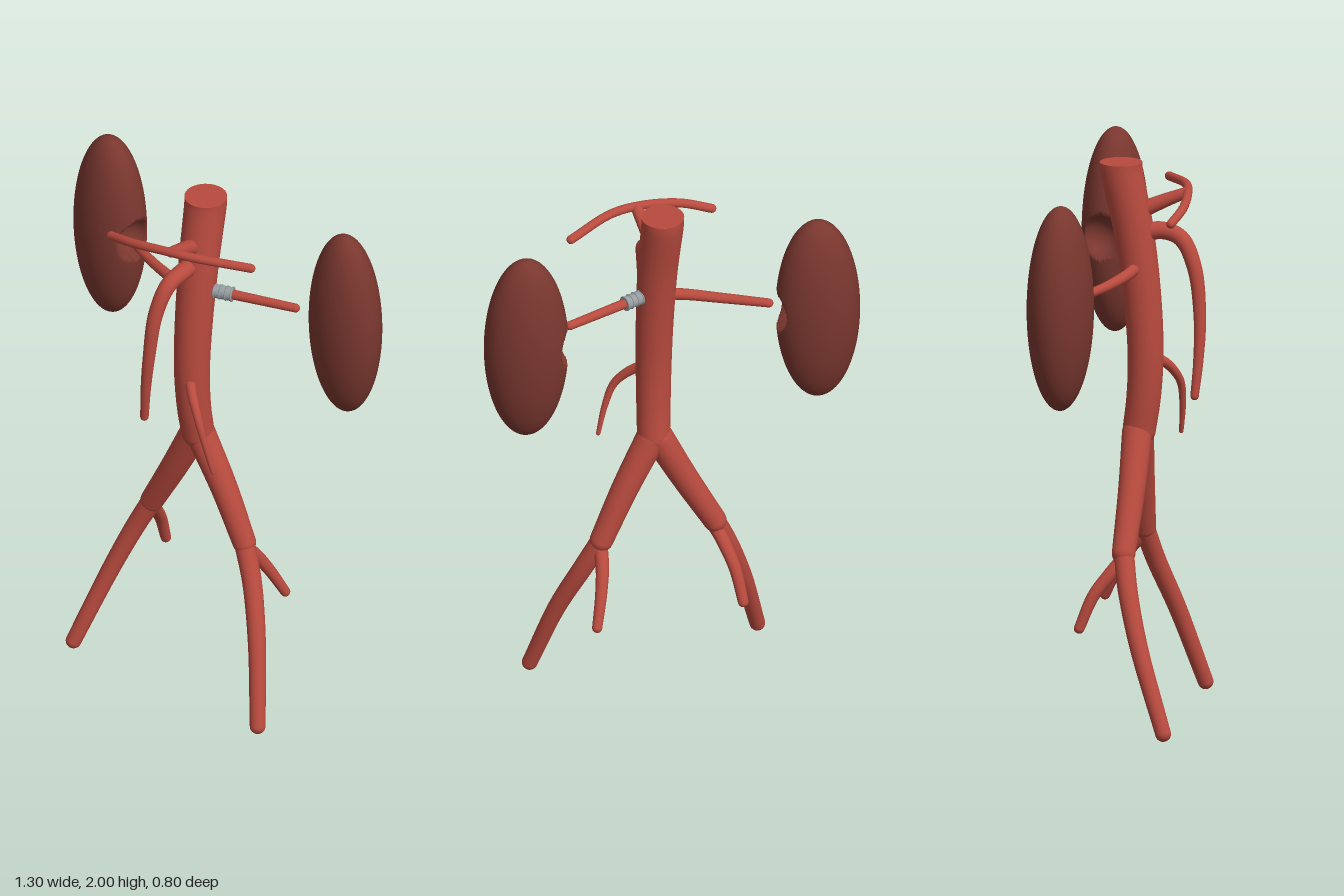
import * as THREE from 'three';
import { mergeGeometries, mergeVertices } from 'three/addons/utils/BufferGeometryUtils.js';

const mat = (name, color) => {
  const m = new THREE.MeshStandardMaterial({ color });
  m.name = name;
  return m;
};

// Smooth tapered tube through points, with round ends
function vessel(points, r0, r1, { roundStart = true, roundEnd = true, segs = 40 } = {}) {
  const curve = new THREE.CatmullRomCurve3(points.map((p) => new THREE.Vector3(...p)), false, 'centripetal');
  const sides = 24;
  const tube = new THREE.TubeGeometry(curve, segs, r0, sides, false);
  const pos = tube.attributes.position;
  const v = new THREE.Vector3();
  for (let i = 0; i <= segs; i++) {
    const t = i / segs;
    const c = curve.getPointAt(t);
    const k = 1 + (r1 / r0 - 1) * t;
    for (let j = 0; j <= sides; j++) {
      const n = i * (sides + 1) + j;
      v.fromBufferAttribute(pos, n).sub(c).multiplyScalar(k).add(c);
      pos.setXYZ(n, v.x, v.y, v.z);
    }
  }
  const parts = [tube];
  const ball = (p, r) => parts.push(new THREE.SphereGeometry(r, 24, 16).translate(...p));
  if (roundStart) ball(points[0], r0);
  if (roundEnd) ball(points[points.length - 1], r1);
  return mergeGeometries(parts);
}

// Flattened ellipsoid with a round hollow scooped out of its +x end
function kidneyGeometry() {
  const geo = new THREE.SphereGeometry(1, 96, 96).rotateZ(-Math.PI / 2).scale(0.15, 0.37, 0.114);
  const pos = geo.attributes.position;
  const cx = 0.145, r = 0.075;
  for (let i = 0; i < pos.count; i++) {
    const d = r * r - pos.getY(i) ** 2 - pos.getZ(i) ** 2;
    if (d > 0 && pos.getX(i) > 0) pos.setX(i, Math.min(pos.getX(i), cx - Math.sqrt(d)));
  }
  geo.deleteAttribute('uv');
  geo.deleteAttribute('normal');
  const smooth = mergeVertices(geo, 1e-5);
  smooth.computeVertexNormals();
  return smooth;
}

export function createModel() {
  const model = new THREE.Group();
  model.name = 'abdominalArteries';
  const red = mat('arteryRed', 0xb84a3e);
  const brown = mat('kidneyBrown', 0x7a372f);
  const grey = mat('stentGrey', 0x979da1);

  const add = (name, geo, material = red) => {
    const m = new THREE.Mesh(geo, material);
    m.name = name;
    model.add(m);
    return m;
  };

  // Main trunk with a flat top
  add('aorta', vessel([
    [-0.045, 2, 0.016], [-0.045, 1.98, 0.016], [-0.055, 1.75, 0.06], [-0.064, 1.5, 0.09],
    [-0.067, 1.3, 0.1], [-0.062, 1.15, 0.094], [-0.052, 1.03, 0.08],
  ], 0.076, 0.059, { roundStart: false, segs: 64 }));
  add('aortaTop', new THREE.CircleGeometry(0.076, 32).rotateX(-Math.PI / 2).translate(-0.045, 2, 0.016));

  // Lower fork: common, outer and inner branches
  add('rightCommonIliac', vessel([[-0.065, 1.02, 0.07], [-0.155, 0.83, 0.035], [-0.255, 0.63, -0.01]], 0.054, 0.042));
  add('leftCommonIliac', vessel([[-0.04, 1.02, 0.08], [0.055, 0.83, 0.105], [0.14, 0.63, 0.13]], 0.054, 0.042));
  add('rightExternalIliac', vessel([
    [-0.255, 0.63, -0.01], [-0.32, 0.5, -0.005], [-0.4, 0.32, 0.02], [-0.515, 0.03, 0.088],
  ], 0.037, 0.028));
  add('leftExternalIliac', vessel([
    [0.14, 0.63, 0.13], [0.187, 0.5, 0.18], [0.235, 0.31, 0.265], [0.276, 0.03, 0.372],
  ], 0.037, 0.028));
  add('rightInternalIliac', vessel([
    [-0.255, 0.61, -0.01], [-0.26, 0.55, -0.065], [-0.262, 0.48, -0.12], [-0.261, 0.365, -0.17],
  ], 0.026, 0.019));
  add('leftInternalIliac', vessel([
    [0.145, 0.61, 0.13], [0.17, 0.55, 0.085], [0.205, 0.47, 0.045], [0.25, 0.365, 0.008],
  ], 0.026, 0.018));

  // Front branches
  add('celiacTrunk', vessel([[-0.055, 1.81, 0.05], [-0.075, 1.855, 0.15], [-0.095, 1.89, 0.235]], 0.033, 0.02));
  add('celiacBranches', vessel([
    [-0.355, 1.84, 0.142], [-0.26, 1.87, 0.2], [-0.13, 1.893, 0.24], [0, 1.9, 0.257], [0.2, 1.885, 0.23],
  ], 0.016, 0.016));
  add('superiorMesentericArtery', vessel([
    [-0.06, 1.74, 0.06], [-0.085, 1.755, 0.16], [-0.115, 1.73, 0.22], [-0.145, 1.63, 0.262],
    [-0.165, 1.45, 0.278], [-0.18, 1.3, 0.27], [-0.19, 1.175, 0.255],
  ], 0.034, 0.015, { segs: 60 }));
  add('inferiorMesentericArtery', vessel([
    [-0.065, 1.29, 0.12], [-0.045, 1.27, 0.17], [0.005, 1.19, 0.235], [0.035, 1.1, 0.25], [0.065, 0.99, 0.25],
  ], 0.02, 0.008));

  // Side branches to the kidneys
  add('rightRenalArtery', vessel([
    [-0.06, 1.63, 0.075], [-0.14, 1.62, 0.035], [-0.26, 1.605, -0.06], [-0.375, 1.597, -0.168],
  ], 0.022, 0.016));
  add('leftRenalArtery', vessel([[-0.05, 1.645, 0.074], [0.13, 1.645, 0.078], [0.315, 1.645, 0.082]], 0.019, 0.016));

  // Sleeve with thin rings
  const sleeve = [new THREE.CylinderGeometry(0.025, 0.025, 0.072, 24).rotateZ(Math.PI / 2)];
  for (const x of [-0.033, -0.011, 0.011, 0.033]) {
    sleeve.push(new THREE.TorusGeometry(0.025, 0.003, 8, 24).rotateY(Math.PI / 2).translate(x, 0, 0));
  }
  add('stent', mergeGeometries(sleeve), grey).position.set(0.044, 1.645, 0.076);

  // Kidneys, each with its hollow facing the trunk
  const kidney = kidneyGeometry();
  const tilt = -0.53;
  const right = add('rightKidney', kidney, brown);
  right.position.set(-0.508, 1.585, -0.279);
  right.rotation.y = tilt;
  const left = add('leftKidney', kidney, brown);
  left.position.set(0.504, 1.63, 0.087);
  left.rotation.y = tilt + Math.PI;

  return model;
}
